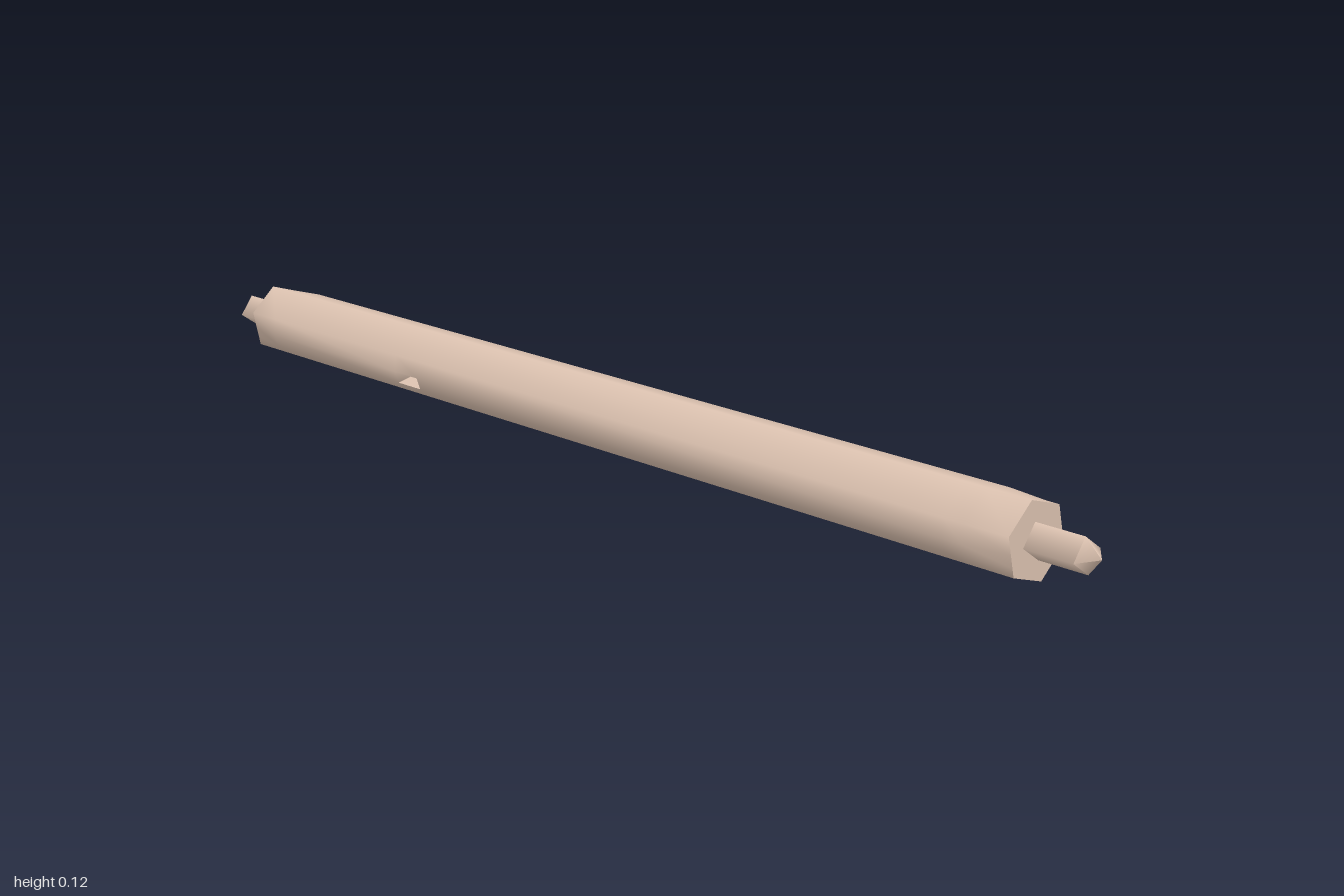
import * as THREE from 'three';
import { toCreasedNormals } from 'three/addons/utils/BufferGeometryUtils.js';

const CY = 0.063;          // height of the rod's axis
const R = 0.063;           // rod radius
const HALF = 0.89;         // half length of the rod
const HEX = -17;           // turn of the six-sided ends, in degrees
const rad = THREE.MathUtils.degToRad;

// Around the rod: six corners plus extra points on the bulged faces
const angles = [-17, 18, 28, 43, 53, 103, 163, 190, 210, 223, 283];
// Along the rod
const stations = [-HALF, -0.82, -0.46, -0.40, 0.72, 0.775, 0.81, HALF];
// Small drilled recesses: columns c0..c1 between station r and r + 1
const recesses = [{ c0: 2, c1: 4, r: 5 }, { c0: 7, c1: 8, r: 2 }];

function rodPoint(c, r) {
  const deg = angles[c % angles.length];
  let radius = R;
  if (r === 0 || r === stations.length - 1) {
    // the ends are flat-sided hexagons
    const off = ((deg - HEX) % 60) - 30;
    radius = R * Math.cos(rad(30)) / Math.cos(rad(off));
  }
  return [radius * Math.cos(rad(deg)), radius * Math.sin(rad(deg)), stations[r]];
}

function rodGeometry() {
  const pos = [];
  const tri = (a, b, c) => pos.push(...a, ...b, ...c);
  const n = angles.length;
  const last = stations.length - 1;

  // side wall, leaving out the recess cells
  for (let r = 0; r < last; r++) {
    for (let c = 0; c < n; c++) {
      if (recesses.some(h => h.r === r && c >= h.c0 && c < h.c1)) continue;
      const a = rodPoint(c, r), b = rodPoint(c + 1, r);
      const d = rodPoint(c, r + 1), e = rodPoint(c + 1, r + 1);
      tri(a, b, e);
      tri(a, e, d);
    }
  }
  // end caps
  for (let c = 0; c < n; c++) {
    tri([0, 0, HALF], rodPoint(c, last), rodPoint(c + 1, last));
    tri([0, 0, -HALF], rodPoint(c + 1, 0), rodPoint(c, 0));
  }
  // recesses narrow to a point inside the rod
  for (const { c0, c1, r } of recesses) {
    const loop = [];
    for (let c = c0; c <= c1; c++) loop.push(rodPoint(c, r));
    for (let c = c1; c >= c0; c--) loop.push(rodPoint(c, r + 1));
    const mid = rad((angles[c0] + angles[c1]) / 2);
    const z = (stations[r] + stations[r + 1]) / 2;
    const tip = [0.025 * Math.cos(mid), 0.025 * Math.sin(mid), z];
    loop.forEach((p, i) => tri(p, loop[(i + 1) % loop.length], tip));
  }
  const g = new THREE.BufferGeometry();
  g.setAttribute('position', new THREE.Float32BufferAttribute(pos, 3));
  return toCreasedNormals(g, rad(65));
}

export function createModel() {
  const model = new THREE.Group();
  const material = new THREE.MeshStandardMaterial({ color: 0xdcc2b0 });

  const rod = new THREE.Mesh(rodGeometry(), material);
  rod.name = 'rod';
  rod.position.y = CY;
  model.add(rod);

  // four-sided pin with a pointed tip at each end
  for (const [side, label] of [[1, 'front'], [-1, 'back']]) {
    const pin = new THREE.Group();
    pin.name = label + 'Pin';
    const shaft = new THREE.Mesh(new THREE.CylinderGeometry(0.029, 0.029, 0.095, 4, 1, true), material);
    shaft.name = label + 'PinShaft';
    shaft.position.y = 0.9275;
    const tip = new THREE.Mesh(new THREE.ConeGeometry(0.029, 0.025, 4, 1, true), material);
    tip.name = label + 'PinTip';
    tip.position.y = 0.9875;
    pin.add(shaft, tip);
    pin.children.forEach(m => { m.rotation.y = side * rad(10); });
    pin.rotation.x = side * Math.PI / 2;
    pin.position.y = CY;
    model.add(pin);
  }
  return model;
}
